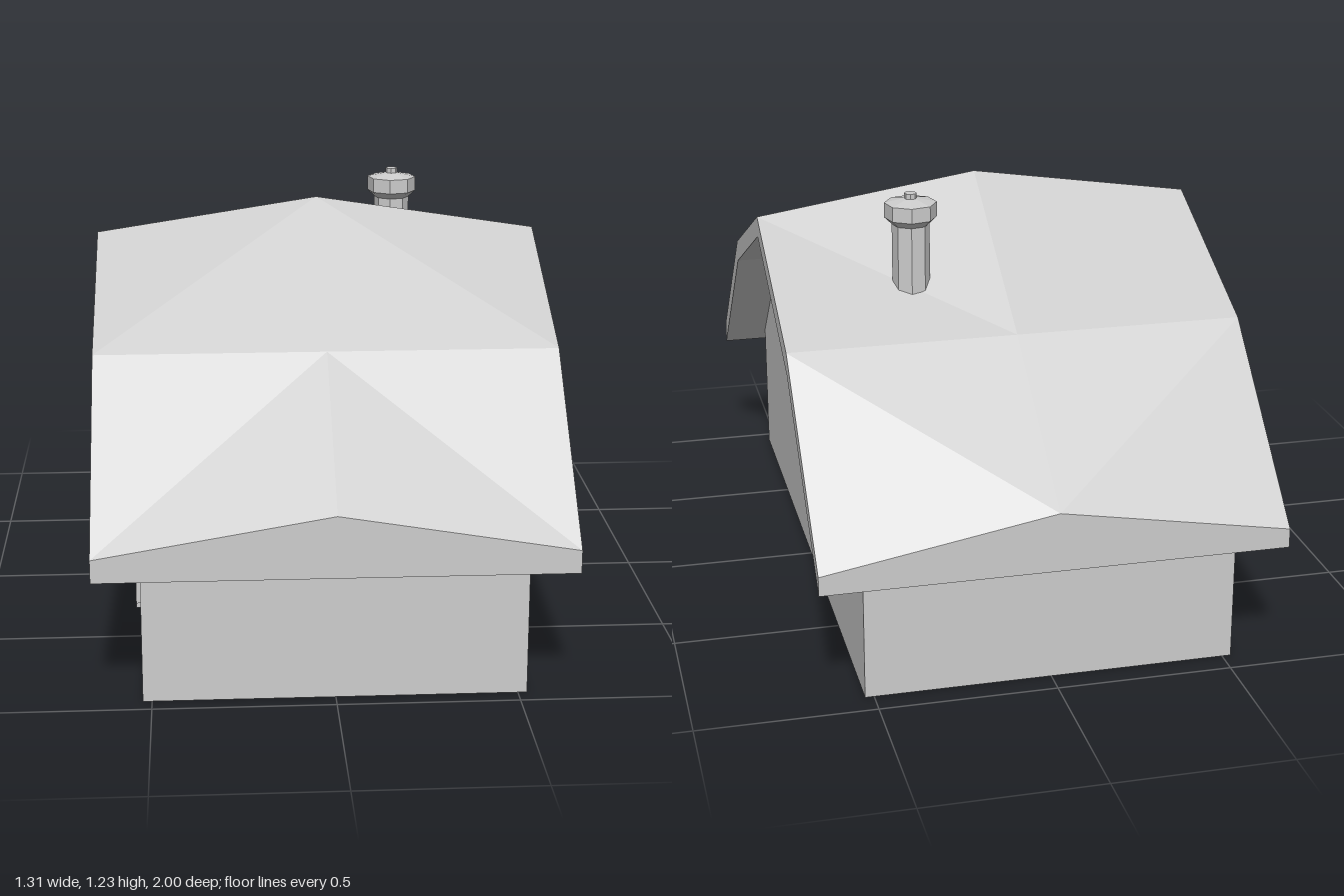
import * as THREE from 'three';

const grey = new THREE.MeshStandardMaterial({ color: 0xcccccc, flatShading: true });
grey.name = 'plain grey';

function add(parent, name, geometry, x = 0, y = 0, z = 0) {
  const mesh = new THREE.Mesh(geometry, grey);
  mesh.name = name;
  mesh.position.set(x, y, z);
  parent.add(mesh);
  return mesh;
}

// Roof slab: three cross-sections along x, rising at the middle one
function roofGeometry() {
  const z = [1, 0.545, 0.01, -0.525, -1];
  const under = [0.365, 0.8, 1.04, 0.8, 0.355];
  const end = [0.43, 0.865, 1.1, 0.865, 0.41];
  const middle = [0.54, 0.865, 1.2, 0.865, 0.525];
  const sections = [[-0.655, end], [0, middle], [0.655, end]].map(([x, top]) => [
    ...z.map((v, i) => [x, top[i], v]),
    ...z.map((v, i) => [x, under[i], v]).reverse(),
  ]);
  const out = [];
  const quad = (a, b, c, d) => out.push(...a, ...b, ...c, ...a, ...c, ...d);
  for (let s = 0; s < 2; s++) {
    const a = sections[s], b = sections[s + 1];
    for (let i = 0; i < 10; i++) {
      const j = (i + 1) % 10;
      // mirror the diagonals about the middle
      if (s === 0) quad(a[i], b[i], b[j], a[j]);
      else quad(b[i], b[j], a[j], a[i]);
    }
  }
  // gable end bands
  const [left, , right] = sections;
  for (let i = 0; i < 4; i++) {
    quad(right[9 - i], right[8 - i], right[i + 1], right[i]);
    quad(left[i], left[i + 1], left[8 - i], left[9 - i]);
  }
  const g = new THREE.BufferGeometry();
  g.setAttribute('position', new THREE.Float32BufferAttribute(out, 3));
  g.computeVertexNormals();
  return g;
}

// Rectangular frame with an opening, standing out from the wall
function frameGeometry(w, h, bar, depth) {
  const rect = (path, a, b) => path.moveTo(-a, -b).lineTo(a, -b).lineTo(a, b).lineTo(-a, b).closePath();
  const shape = rect(new THREE.Shape(), w / 2, h / 2);
  shape.holes.push(rect(new THREE.Path(), w / 2 - bar, h / 2 - bar));
  return new THREE.ExtrudeGeometry(shape, { depth, bevelEnabled: false });
}

function crossBraces(parent, name, u, y, w, h, bar, base, depth) {
  for (const s of [-1, 1]) {
    const brace = add(parent, name, new THREE.BoxGeometry(Math.hypot(w, h) - bar, bar, depth), u, y, base + depth / 2);
    brace.rotation.z = s * Math.atan2(h, w);
  }
}

export function createModel() {
  const barn = new THREE.Group();
  barn.name = 'barn';

  // Walls with gambrel gables; shape x runs along z
  const profile = [[-0.93, 0], [0.95, 0], [0.95, 0.413], [0.545, 0.8], [0.01, 1.04], [-0.525, 0.8], [-0.93, 0.42]];
  const shape = new THREE.Shape(profile.map(([u, y]) => new THREE.Vector2(u, y)));
  const walls = add(barn, 'walls', new THREE.ExtrudeGeometry(shape, { depth: 1.05, bevelEnabled: false }), 0.525);
  walls.rotation.y = -Math.PI / 2;

  add(barn, 'roof', roofGeometry());

  // Octagonal chimney pipe with a flared cap
  const chimney = [[0, 0.85], [0.054, 0.85], [0.054, 1.14], [0.075, 1.16], [0.075, 1.203],
    [0.018, 1.215], [0.018, 1.23], [0, 1.23]].map(([r, y]) => new THREE.Vector2(r, y));
  const pipe = new THREE.LatheGeometry(chimney, 8).toNonIndexed();
  pipe.computeVertexNormals();
  add(barn, 'chimney', pipe, 0.255, 0, -0.29).rotation.y = -0.15;

  // Door side: local x runs along z, local z points out of the wall
  const facade = new THREE.Group();
  facade.name = 'doorSide';
  facade.position.x = -0.525;
  facade.rotation.y = -Math.PI / 2;
  barn.add(facade);

  // Windows, two low and two high
  for (const [u, y] of [[-0.68, 0.32], [0.73, 0.32], [-0.35, 0.765], [0.37, 0.765]]) {
    add(facade, 'windowFrame', frameGeometry(0.15, 0.185, 0.025, 0.016), u, y);
    add(facade, 'windowPane', new THREE.BoxGeometry(0.11, 0.145, 0.008), u, y, 0.002);
  }

  // Loft hatch
  add(facade, 'loftPanel', new THREE.BoxGeometry(0.2, 0.2, 0.016), -0.01, 0.57, 0.004);
  add(facade, 'loftFrame', frameGeometry(0.21, 0.22, 0.025, 0.025), -0.01, 0.57);
  crossBraces(facade, 'loftBrace', -0.01, 0.57, 0.16, 0.17, 0.02, 0.01, 0.01);

  // Double barn door with its casing
  for (const s of [-1, 1]) {
    add(facade, 'doorPost', new THREE.BoxGeometry(0.035, 0.41, 0.036), -0.01 + s * 0.275, 0.205, 0.016);
    const u = -0.01 + s * 0.129;
    add(facade, 'doorLeaf', new THREE.BoxGeometry(0.256, 0.4, 0.024), u, 0.21, 0.01);
    add(facade, 'doorFrame', frameGeometry(0.252, 0.39, 0.028, 0.033), u, 0.212);
    crossBraces(facade, 'doorBrace', u, 0.212, 0.196, 0.334, 0.026, 0.02, 0.02);
  }
  add(facade, 'doorHeader', new THREE.BoxGeometry(0.6, 0.04, 0.042), -0.01, 0.424, 0.018);

  return barn;
}
